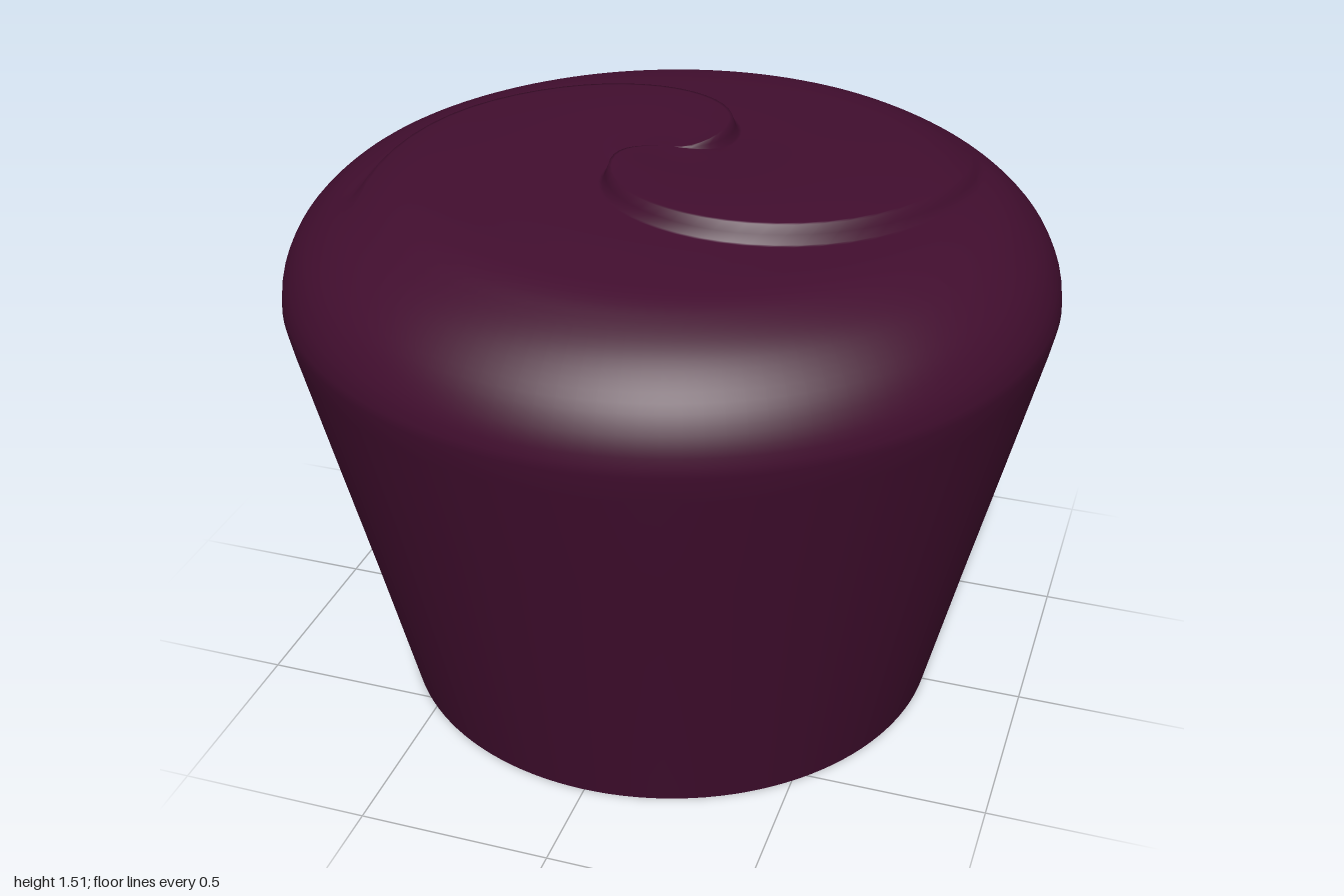
import * as THREE from 'three';
import { mergeVertices } from 'three/addons/utils/BufferGeometryUtils.js';

const SIDES = 128;

// Smooth domed shell whose rings are twisted so that columns follow a two-armed spiral
function shellGeometry() {
  const dome = new THREE.SplineCurve([
    [1, 1.13], [0.99, 1.2], [0.95, 1.28], [0.88, 1.35], [0.8, 1.397], [0.7, 1.435],
    [0.55, 1.46], [0.38, 1.48], [0.2, 1.49], [0, 1.493],
  ].map(([x, y]) => new THREE.Vector2(x, y))).getSpacedPoints(48);
  dome[dome.length - 1].x = 0;
  const wall = [[0.73, 0], [0.82, 0.38], [0.91, 0.75], [0.985, 1.06]].map(([x, y]) => new THREE.Vector2(x, y));
  const geo = new THREE.LatheGeometry([...wall, ...dome], SIDES);
  const pos = geo.attributes.position;
  const step = (Math.PI * 2) / SIDES;
  const half = SIDES / 2;

  for (let i = 0; i < pos.count; i++) {
    const x = pos.getX(i), y = pos.getY(i), z = pos.getZ(i);
    const r = Math.hypot(x, z);
    if (y < 1.131 || r < 1e-5) continue;
    // Spiral arm angle as a function of radius
    const column = Math.round(Math.atan2(z, x) / step);
    const angle = column * step + THREE.MathUtils.degToRad(175 - 250 * Math.min(r, 0.8));
    // Height climbs slowly between the arms, then drops over one column
    const k = ((column % half) + half) % half;
    const ramp = k === 0 ? 0 : -1 + (2 * (k - 1)) / (half - 2);
    const fade = THREE.MathUtils.smoothstep(r, 0, 0.18) * (1 - THREE.MathUtils.smoothstep(r, 0.62, 0.88));
    pos.setXYZ(i, r * Math.cos(angle), y + 0.02 * ramp * fade, r * Math.sin(angle));
  }
  // Carry the rim twist down the wall so that the columns stay straight
  const rimTwist = THREE.MathUtils.degToRad(175 - 250 * 0.8);
  for (let i = 0; i < pos.count; i++) {
    if (pos.getY(i) >= 1.131) continue;
    const x = pos.getX(i), z = pos.getZ(i);
    const r = Math.hypot(x, z), angle = Math.atan2(z, x) + rimTwist;
    pos.setXYZ(i, r * Math.cos(angle), pos.getY(i), r * Math.sin(angle));
  }
  geo.deleteAttribute('uv');
  geo.deleteAttribute('normal');
  const merged = mergeVertices(geo, 1e-5);
  merged.computeVertexNormals();
  return merged;
}

export function createModel() {
  const group = new THREE.Group();
  group.name = 'swirledSweet';
  const plum = new THREE.MeshStandardMaterial({ color: 0x420e2f });
  plum.name = 'dark plum';

  // Tapered body with a domed, swirled top
  const body = new THREE.Mesh(shellGeometry(), plum);
  body.name = 'swirledBody';
  group.add(body);

  // Flat underside
  const base = new THREE.Mesh(new THREE.CircleGeometry(0.73, SIDES), plum);
  base.name = 'base';
  base.rotation.x = Math.PI / 2;
  group.add(base);

  return group;
}
